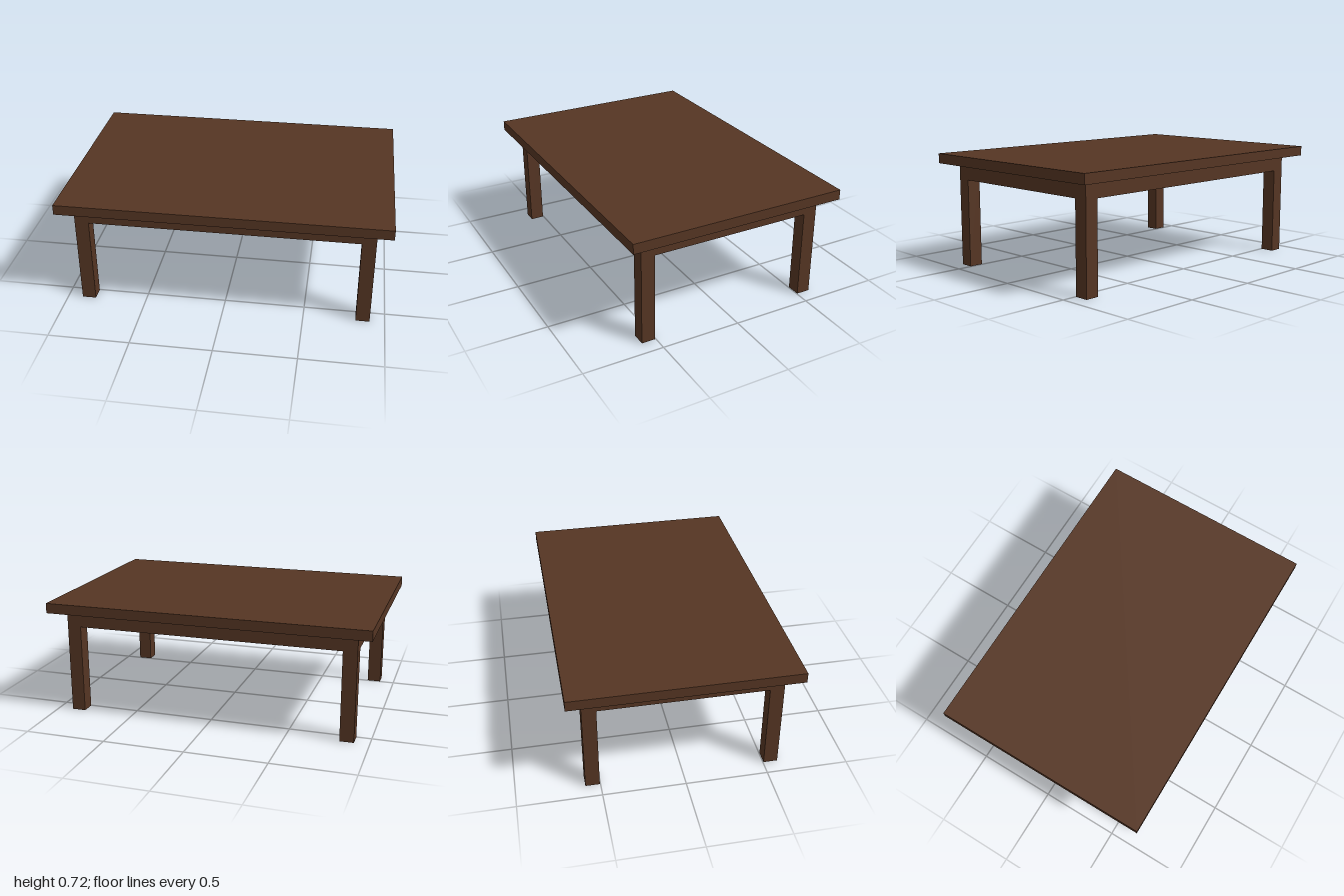
import * as THREE from 'three';

export function createModel() {
  const table = new THREE.Group();
  table.name = 'table';
  const wood = new THREE.MeshStandardMaterial({ color: 0x553523 });
  wood.name = 'dark wood';

  const topY = 0.717, underY = 0.655, apronY = 0.555;
  const outX = 0.908, outZ = 0.59, leg = 0.086;

  const addBox = (name, w, h, d, x, bottom, z) => {
    const mesh = new THREE.Mesh(new THREE.BoxGeometry(w, h, d), wood);
    mesh.name = name;
    mesh.position.set(x, bottom + h / 2, z);
    table.add(mesh);
  };

  // Overhanging table top
  addBox('tableTop', 2, topY - underY, 1.366, 0, underY, 0);

  // Square legs at the corners, with aprons flush between them
  const legX = outX - leg / 2, legZ = outZ - leg / 2;
  const apronH = underY - apronY;
  for (const s of [-1, 1]) {
    const end = s > 0 ? 'front' : 'back';
    const side = s > 0 ? 'left' : 'right';
    addBox(`${end}LeftLeg`, leg, underY, leg, legX, 0, s * legZ);
    addBox(`${end}RightLeg`, leg, underY, leg, -legX, 0, s * legZ);
    addBox(`${end}Apron`, 2 * (outX - leg), apronH, leg, 0, apronY, s * legZ);
    addBox(`${side}Apron`, leg, apronH, 2 * (outZ - leg), s * legX, apronY, 0);
  }
  return table;
}
